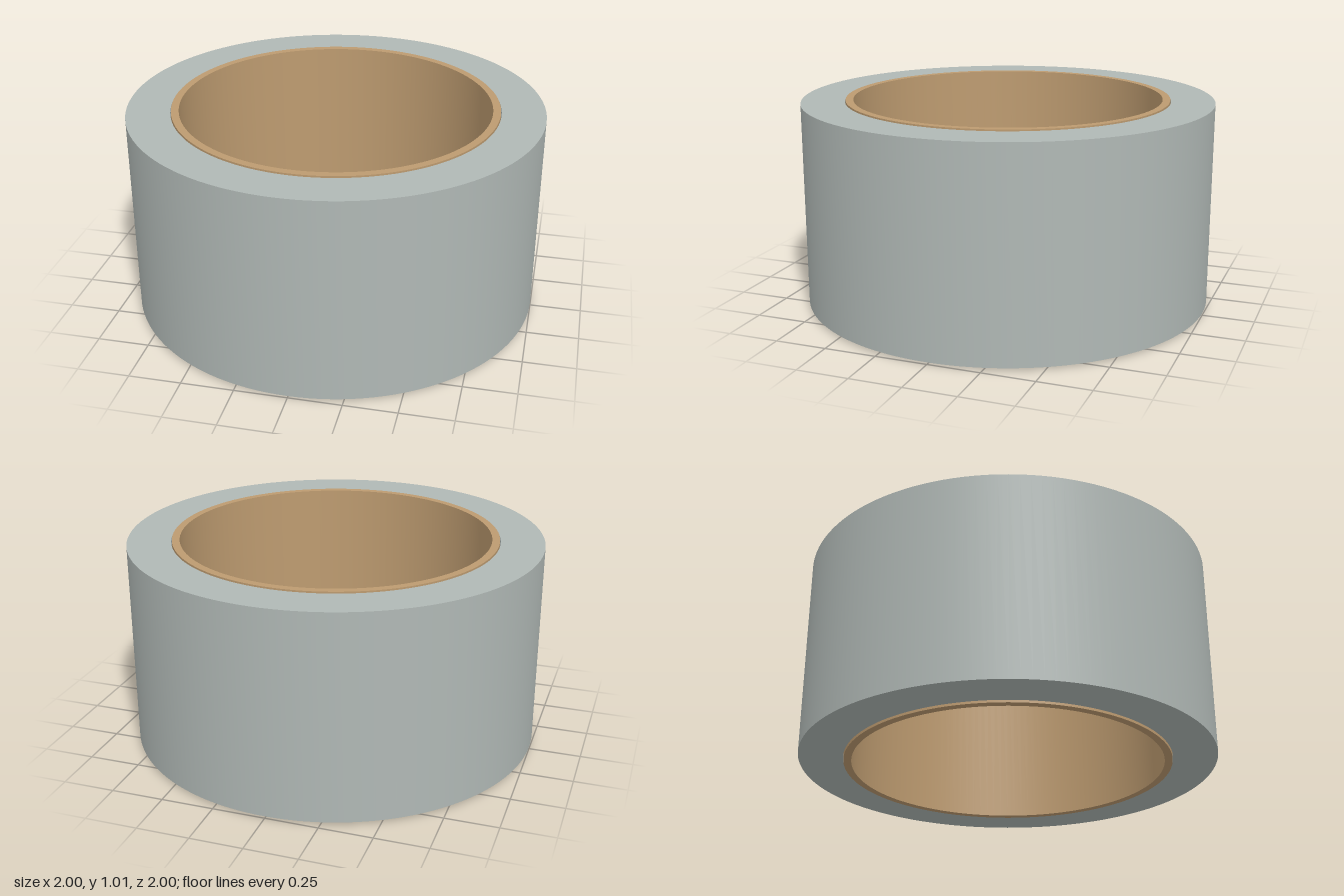
import * as THREE from 'three';
import { toCreasedNormals } from 'three/addons/utils/BufferGeometryUtils.js';

// Hollow cylinder from a closed rectangular profile, with sharp rims
function ring(name, inner, outer, bottom, top, color) {
  const profile = [
    [inner, bottom], [outer, bottom], [outer, top], [inner, top], [inner, bottom],
  ].map(([r, y]) => new THREE.Vector2(r, y));
  const geometry = toCreasedNormals(new THREE.LatheGeometry(profile, 128), Math.PI / 6);
  const mesh = new THREE.Mesh(geometry, new THREE.MeshStandardMaterial({ color }));
  mesh.name = name;
  return mesh;
}

export function createModel() {
  const group = new THREE.Group();
  group.name = 'tapeRoll';
  // Wound tape
  group.add(ring('tape', 0.79, 1, 0.01, 1, 0xb0b8b5));
  // Cardboard core, standing slightly proud at both ends
  group.add(ring('core', 0.75, 0.787, 0, 1.007, 0xbd9b70));
  return group;
}
